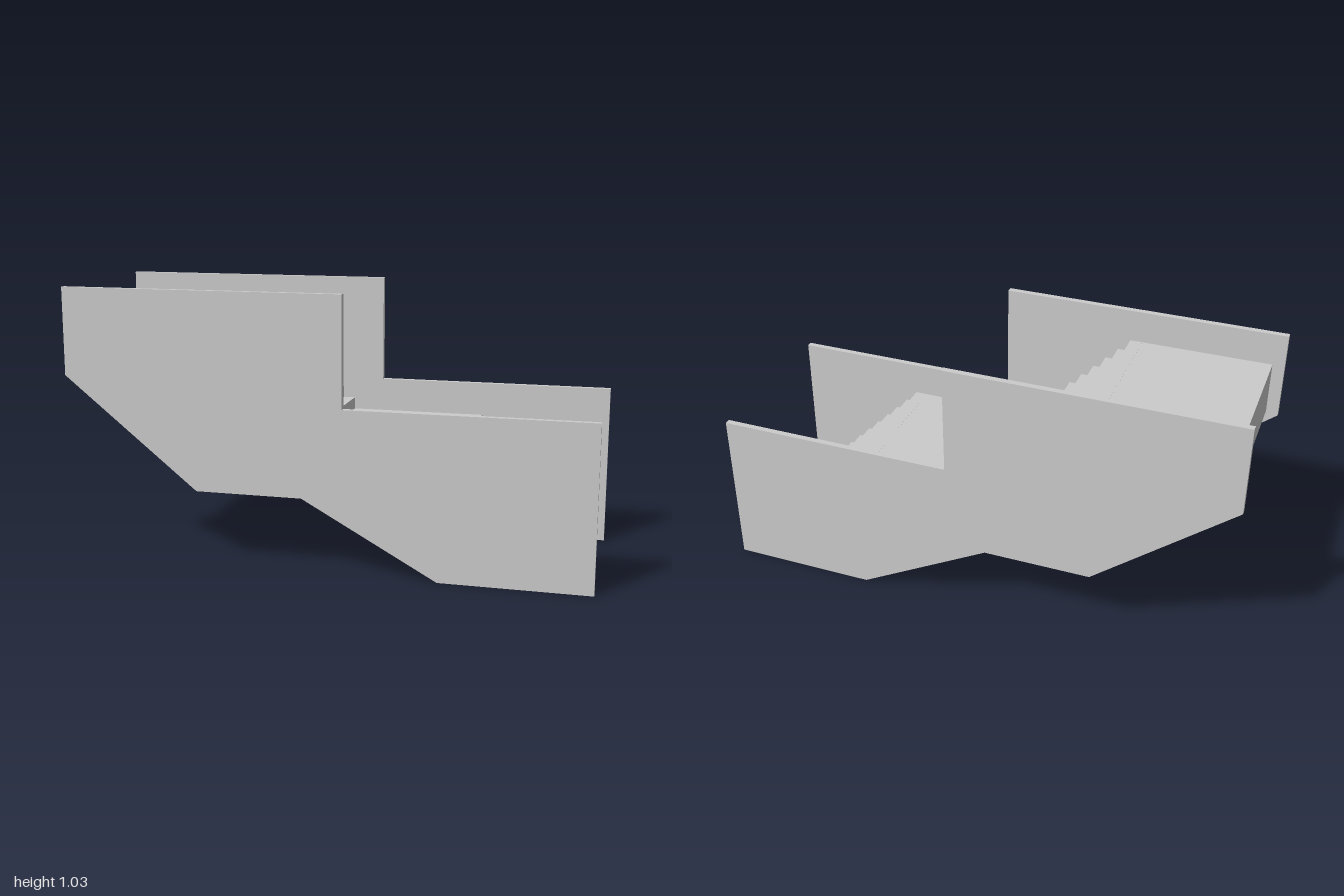
import * as THREE from 'three';

const material = new THREE.MeshStandardMaterial({ color: 0xcccccc, flatShading: true });

// Extrudes an x/y outline from z0 to z1
function slab(name, points, z0, z1) {
  const shape = new THREE.Shape(points.map(([x, y]) => new THREE.Vector2(x, y)));
  const geometry = new THREE.ExtrudeGeometry(shape, { depth: z1 - z0, bevelEnabled: false });
  geometry.translate(0, 0, z0);
  const mesh = new THREE.Mesh(geometry, material);
  mesh.name = name;
  return mesh;
}

const INNER = 0.324, OUTER = 0.347;
const STEPS = 9, TREAD = 0.0472, RISE = 0.0467;

// Solid flight climbing toward -x, with a flat underside
function flight(name, x, y) {
  const points = [[x, y]];
  for (let i = 0; i < STEPS; i++) {
    points.push([x - i * TREAD, y + (i + 1) * RISE], [x - (i + 1) * TREAD, y + (i + 1) * RISE]);
  }
  points.push([x - STEPS * TREAD, y]);
  return slab(name, points, -INNER, INNER);
}

// Thick platform whose top meets the top of a flight
function landing(name, x0, x1, top) {
  const bottom = top - 0.2;
  return slab(name, [[x0, bottom], [x1, bottom], [x1, top], [x0, top]], -INNER, INNER);
}

export function createModel() {
  const group = new THREE.Group();
  group.name = 'staircase';

  // Side walls
  const wall = [
    [-1, 1.035], [-1, 0.7], [-0.48, 0.28], [-0.07, 0.28], [0.44, 0],
    [1, 0], [1, 0.62], [0.085, 0.62], [0.085, 1.035],
  ];
  group.add(slab('frontWall', wall, INNER, OUTER), slab('backWall', wall, -OUTER, -INNER));

  // Two flights, each ending at a landing
  const base = 0.07, climb = STEPS * RISE;
  group.add(
    flight('lowerFlight', 0.875, base),
    landing('middleLanding', -0.035, 0.45, base + climb),
    flight('upperFlight', -0.035, base + climb),
    landing('topLanding', -0.955, -0.46, base + 2 * climb),
  );
  return group;
}
